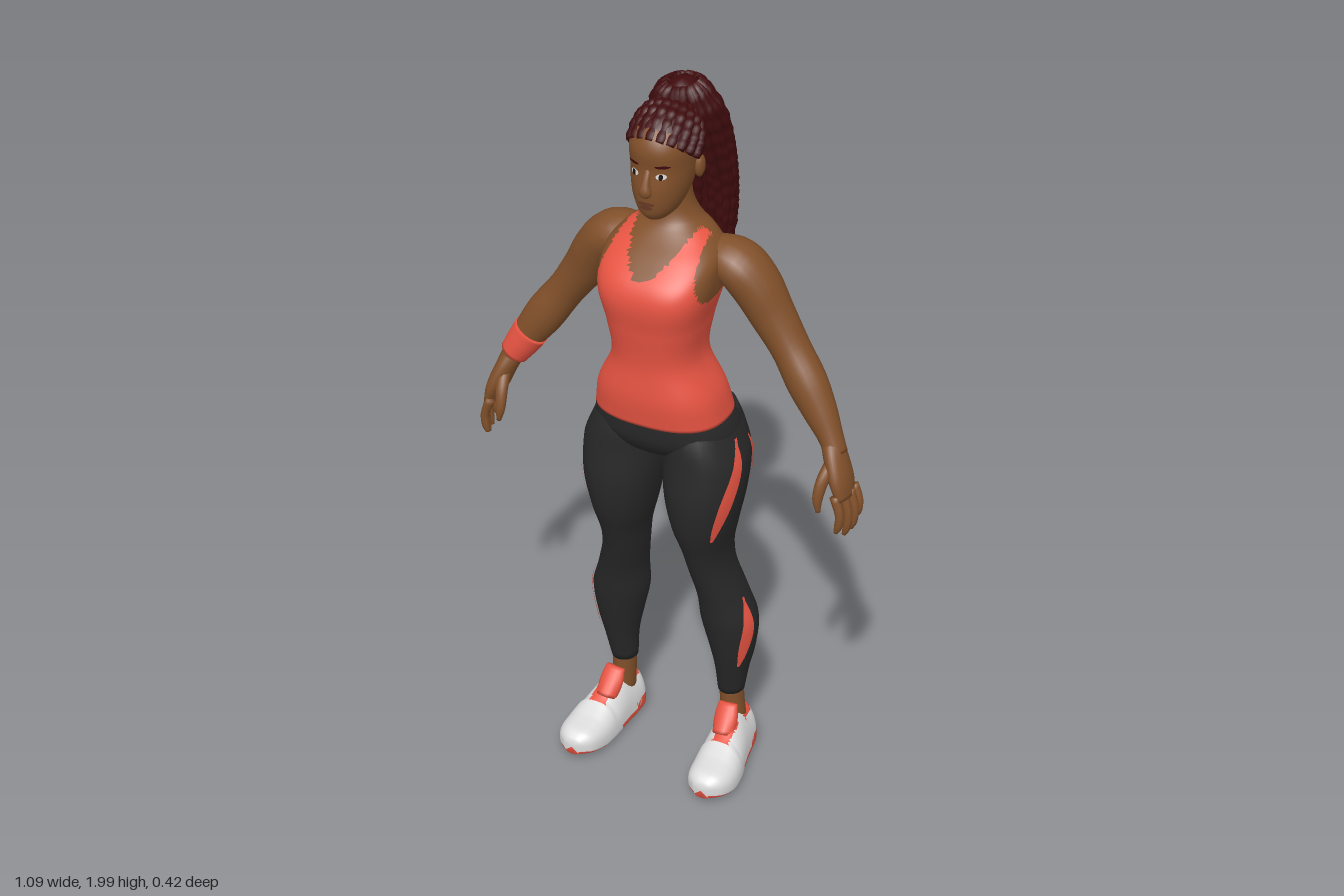
import * as THREE from 'three';

const mat = (name, color, side = THREE.FrontSide) => {
  const m = new THREE.MeshStandardMaterial({ color, side });
  m.name = name;
  return m;
};

// Smooth interpolation of key rows; the first column is the position
function sample(keys, t) {
  const n = keys.length;
  let i = 0;
  while (i < n - 2 && t > keys[i + 1][0]) i++;
  const a = keys[i], b = keys[i + 1], p = keys[Math.max(i - 1, 0)], q = keys[Math.min(i + 2, n - 1)];
  const h = b[0] - a[0], s = (t - a[0]) / h, s2 = s * s, s3 = s2 * s;
  return a.map((v, k) => {
    const ma = (b[k] - p[k]) / (b[0] - p[0]) * h, mb = (q[k] - a[k]) / (q[0] - a[0]) * h;
    return (2 * s3 - 3 * s2 + 1) * v + (s3 - 2 * s2 + s) * ma + (3 * s2 - 2 * s3) * b[k] + (s3 - s2) * mb;
  });
}

const pow = (v, p) => Math.sign(v) * Math.abs(v) ** p;

// Point on an upright form; key row: y, centre x, half width, front z, back z, squareness
function bodyPoint(keys, y, a, out = 0) {
  const [, cx, rx, zf, zb, p] = sample(keys, y);
  return new THREE.Vector3(cx + (rx + out) * pow(Math.sin(a), p), y,
    (zf + zb) / 2 + ((zf - zb) / 2 + out) * pow(Math.cos(a), p));
}

// Grid surface from fn(u, v); closed grids wrap in v and get end caps.
function surface(name, fn, nu, nv, mats, closed = true, rule = null) {
  const list = [].concat(mats), pts = [], w = closed ? nv : nv + 1;
  for (let i = 0; i <= nu; i++) for (let j = 0; j < w; j++) pts.push(fn(i / nu, j / nv));
  const buckets = list.map(() => []);
  const tri = (a, b, c) => {
    const m = new THREE.Vector3().add(pts[a]).add(pts[b]).add(pts[c]).divideScalar(3);
    buckets[rule ? rule(m) : 0].push(a, b, c);
  };
  for (let i = 0; i < nu; i++) for (let j = 0; j < nv; j++) {
    const k = (j + 1) % w, a = i * w + j, b = i * w + k, c = (i + 1) * w + k, d = (i + 1) * w + j;
    tri(a, b, c);
    tri(a, c, d);
  }
  if (closed) for (const end of [0, nu]) {
    const mid = new THREE.Vector3();
    for (let j = 0; j < w; j++) mid.add(pts[end * w + j]);
    pts.push(mid.divideScalar(w));
    for (let j = 0; j < w; j++) {
      const a = end * w + j, b = end * w + (j + 1) % w;
      end ? tri(a, b, pts.length - 1) : tri(b, a, pts.length - 1);
    }
  }
  const g = new THREE.BufferGeometry().setFromPoints(pts);
  g.setIndex(buckets.flat());
  let start = 0;
  buckets.forEach((b, i) => { g.addGroup(start, b.length, i); start += b.length; });
  g.computeVertexNormals();
  const mesh = new THREE.Mesh(g, list.length > 1 ? list : list[0]);
  mesh.name = name;
  return mesh;
}

function body(name, keys, nu, nv, mats, rule) {
  const y0 = keys[0][0], y1 = keys[keys.length - 1][0];
  return surface(name, (u, v) => bodyPoint(keys, y0 + (y1 - y0) * u, v * Math.PI * 2), nu, nv, mats, true, rule);
}

// Thin painted plate lying on an upright form; at(u, v) gives [y, angle]
function patch(name, keys, at, m, s = 1, out = 0.004) {
  return surface(name, (u, v) => {
    const [y, a] = at(u, s > 0 ? v : 1 - v);
    return bodyPoint(keys, y, a * s, out);
  }, 14, 8, m, false);
}
const spot = (y, a, h, w) => (u, v) => [y + h * (2 * u - 1) * Math.sqrt(1 - 0.98 * (2 * v - 1) ** 2), a + w * (2 * v - 1)];
const stripe = (y0, y1, a0, a1, w) => (u, v) =>
  [y0 + (y1 - y0) * u, a0 + (a1 - a0) * u + w * (2 * v - 1) * Math.sin(Math.PI * Math.min(0.97, u + 0.03)) ** 0.7];

// Limb along a path; row: x, y, z, radius toward the hint axis, other radius
function limb(name, rows, m, nu = 24, nv = 14, hint = [0, 0, 1]) {
  const curve = new THREE.CatmullRomCurve3(rows.map(r => new THREE.Vector3(r[0], r[1], r[2])));
  const radii = rows.map((r, i) => [i, r[3], r[4]]);
  return surface(name, (u, v) => {
    const T = curve.getTangent(u), U = new THREE.Vector3(...hint);
    U.addScaledVector(T, -U.dot(T)).normalize();
    const V = new THREE.Vector3().crossVectors(T, U), [, ru, rv] = sample(radii, u * (rows.length - 1));
    const a = v * Math.PI * 2;
    return curve.getPoint(u).addScaledVector(U, ru * Math.cos(a)).addScaledVector(V, rv * Math.sin(a));
  }, nu, nv, m);
}

export function createModel() {
  const root = new THREE.Group();
  root.name = 'athleticWoman';
  const skin = mat('skin', 0x81502a), coral = mat('coral', 0xea5543), black = mat('leggings', 0x282828);
  const hair = mat('hair', 0x400c0e), white = mat('white', 0xdcdcdc), dark = mat('iris', 0x1c0f0a), lip = mat('lips', 0x6b3a26);
  const add = (...m) => root.add(...m);

  // Torso, tank top and neck in one form; the top ends at neckline and armholes
  const torso = [
    [1.125, 0, .178, .172, -.1, .8], [1.2, 0, .162, .18, -.08, .8], [1.3, 0, .118, .175, -.055, .8],
    [1.4, 0, .127, .187, -.068, .75], [1.48, 0, .146, .197, -.085, .7], [1.53, 0, .152, .18, -.09, .72],
    [1.58, 0, .148, .13, -.092, .8], [1.62, 0, .112, .08, -.088, .9], [1.65, 0, .072, .055, -.08, 1],
    [1.7, 0, .05, .045, -.06, 1], [1.77, 0, .047, .05, -.055, 1]];
  add(body('torsoAndTankTop', torso, 84, 80, [skin, coral], p => {
    const x = Math.abs(p.x), front = p.z > 0;
    if (p.y > 1.635) return 0;
    if (front ? p.y > 1.54 + 14 * x * x : p.y > 1.6 + 3 * x * x) return 0;
    const arm = front ? 0.148 - (p.y - 1.47) * 0.25 : 0.15 - (p.y - 1.45) * 0.4;
    return p.y > 1.46 && x > arm ? 0 : 1;
  }));

  // Hips
  add(body('hips', [
    [.985, 0, .07, .07, -.06, 1], [1.02, 0, .15, .125, -.1, .9], [1.06, 0, .19, .152, -.115, .85],
    [1.1, 0, .188, .158, -.113, .82], [1.15, 0, .165, .158, -.085, .8]], 16, 40, black));

  // Head with face plates
  const head = [
    [1.685, 0, .028, .112, .03, 1], [1.7, 0, .044, .125, 0, .95], [1.73, 0, .06, .132, -.02, .92],
    [1.77, 0, .072, .134, -.045, .92], [1.82, 0, .079, .129, -.06, .92], [1.87, 0, .081, .132, -.065, .92],
    [1.91, 0, .072, .115, -.06, 1], [1.94, 0, .045, .08, -.04, 1]];
  add(body('head', head, 32, 36, skin));
  add(limb('nose', [[0, 1.825, .123, .006, .008], [0, 1.79, .135, .012, .011], [0, 1.768, .138, .014, .017],
    [0, 1.757, .13, .006, .01]], skin, 12, 12));
  add(patch('upperLip', head, spot(1.737, 0, .005, .32), lip), patch('lowerLip', head, spot(1.726, 0, .006, .26), lip));
  for (const s of [1, -1]) {
    add(patch('eyeWhite', head, spot(1.812, .43, .008, .17), white, s, .002));
    add(patch('eyeIris', head, spot(1.812, .42, .008, .07), dark, s, .004));
    add(patch('eyebrow', head, spot(1.838, .46, .004, .24), hair, s, .003));
    const ear = new THREE.Mesh(new THREE.SphereGeometry(1, 12, 10), skin);
    ear.name = 'ear';
    ear.scale.set(.012, .03, .02);
    ear.position.set(s * .082, 1.805, .01);
    add(ear);
  }

  // Scalp hair with braids swept back to the tie
  const cap = new THREE.Mesh(new THREE.SphereGeometry(1, 32, 16, 0, Math.PI * 2, 0, Math.PI * .56).rotateX(-.75), hair);
  cap.name = 'scalpHair';
  cap.scale.set(.09, .1, .105);
  cap.position.set(0, 1.855, .025);
  cap.material = mat('hair', 0x400c0e, THREE.DoubleSide);
  cap.material = hair.side === THREE.DoubleSide ? hair : (hair.side = THREE.DoubleSide, hair);
  add(cap);
  for (let i = 0; i < 11; i++) {
    const a = (i / 10 - .5) * 2.9, sx = Math.sin(a), c = Math.cos(a);
    const rows = [];
    for (let k = 0; k <= 12; k++) {
      const t = k / 12, r = .013 + .003 * (k % 2), bulge = Math.sin(t * Math.PI);
      rows.push([sx * .083 * (1 - t * .75) + sx * .025 * bulge, 1.835 + .06 * c + (.105 - .06 * c) * t + .032 * bulge * c,
        .035 + .08 * c - (.075 + .08 * c) * t, r, r]);
    }
    add(limb('scalpBraid', rows, hair, 36, 8, [1, .3, 0]));
  }

  // Ponytail core covered with hanging braids
  const tail = [
    [1.48, 0, .05, -.145, -.19, 1], [1.55, 0, .08, -.115, -.195, .9], [1.7, 0, .092, -.09, -.188, .9],
    [1.85, 0, .092, -.045, -.16, .9], [1.92, 0, .078, -.005, -.14, 1], [1.965, 0, .05, -.005, -.115, 1],
    [1.99, 0, .018, -.03, -.085, 1]];
  add(body('ponytail', tail, 30, 28, hair));
  let seed = 7;
  const rnd = () => (seed = (seed * 16807) % 2147483647) / 2147483647;
  for (let i = 0; i < 24; i++) {
    const a0 = i / 24 * Math.PI * 2, end = 1.48 + rnd() * .07, ph = rnd() * 6, rows = [];
    for (let k = 0; k <= 22; k++) {
      const y = 1.982 + (end - 1.982) * k / 22, r = (k === 22 ? .006 : .011 + .004 * (k % 2));
      const p = bodyPoint(tail, y, a0 + .12 * Math.sin(y * 14 + ph), .003);
      rows.push([p.x, p.y, p.z, r, r]);
    }
    add(limb('ponytailBraid', rows, hair, 44, 7));
  }

  for (const s of [1, -1]) {
    const side = rows => rows.map(([x, ...r]) => [x * s, ...r]);
    const flip = keys => keys.map(([y, x, ...r]) => [y, x * s, ...r]);

    // Arm and hand
    add(limb('arm', side([
      [.1, 1.555, -.02, .06, .05], [.17, 1.545, -.022, .074, .06], [.215, 1.5, -.027, .071, .063],
      [.265, 1.42, -.03, .06, .057], [.32, 1.34, -.025, .052, .05], [.375, 1.262, -.01, .05, .053],
      [.42, 1.195, .003, .042, .044], [.455, 1.14, .015, .034, .032], [.475, 1.1, .023, .034, .028]]), skin, 40, 20));
    add(limb('palm', side([
      [.46, 1.13, .017, .032, .028], [.478, 1.09, .028, .043, .027], [.498, 1.04, .037, .05, .025],
      [.513, .995, .04, .045, .017]]), skin, 14, 16));
    for (let f = 0; f < 4; f++) {
      const z = .079 - f * .026, len = [.085, .1, .095, .075][f], x = .516 + [-.012, 0, .006, .006][f];
      add(limb('finger', side([
        [x - .005, 1.01, z, .013, .013], [x + .012, 1.005 - len * .5, z + .003, .012, .012],
        [x + .01, 1 - len * .85, z + .004, .011, .011], [x + .004, 1 - len * 1.08, z + .005, .006, .006]]), skin, 12, 8));
    }
    add(limb('thumb', side([
      [.474, 1.085, .045, .018, .018], [.464, 1.045, .078, .017, .016], [.46, 1.0, .095, .013, .013],
      [.464, .965, .098, .006, .006]]), skin, 12, 10));
    if (s < 0) add(limb('wristband', side([
      [.413, 1.205, .001, .05, .049], [.435, 1.17, .009, .046, .045], [.458, 1.135, .016, .041, .039]]), coral, 10, 20));

    // Legging leg with inlaid stripes
    const leg = flip([
      [.215, .165, .036, .004, -.076, 1], [.3, .17, .047, .022, -.082, 1], [.37, .171, .062, .038, -.094, 1],
      [.47, .164, .078, .058, -.1, 1], [.55, .15, .067, .07, -.088, 1], [.65, .128, .06, .096, -.068, 1],
      [.72, .121, .064, .118, -.065, 1], [.8, .118, .083, .145, -.07, .95], [.9, .118, .102, .158, -.085, .92],
      [1, .115, .108, .15, -.105, .92], [1.06, .106, .096, .145, -.112, .92], [1.12, .095, .08, .13, -.1, .95]]);
    add(body('leggingLeg', leg, 48, 28, black));
    add(patch('frontThighStripe', leg, stripe(.79, 1.07, .75, 1.45, .2), coral, s));
    add(patch('backThighStripe', leg, stripe(.8, 1.05, 2.35, 1.9, .17), coral, s));
    add(patch('calfStripe', leg, stripe(.33, .56, .75, 1.4, .25), coral, s));

    // Ankle and sneaker
    add(body('ankle', flip([[.1, .173, .035, .005, -.08, 1], [.17, .168, .033, 0, -.074, 1],
      [.225, .165, .033, 0, -.073, 1]]), 8, 20, skin));
    add(limb('shoeTongue', side([
      [.182, .11, .045, .03, .03], [.178, .15, .02, .022, .034], [.175, .186, .002, .012, .028]]), coral, 10, 16));
    const shoe = [
      [-.105, .172, .022, .085], [-.09, .174, .044, .13], [-.05, .177, .052, .14], [0, .183, .056, .152],
      [.04, .188, .061, .137], [.09, .195, .067, .108], [.15, .2, .065, .084], [.19, .2, .05, .068], [.213, .2, .022, .045]];
    add(surface('sneaker', (u, v) => {
      const z = -.105 + .318 * u, [, cx, hw, h] = sample(shoe, z), a = v * Math.PI * 2, sn = Math.sin(a);
      const toe = Math.max(0, z - .13) * .2, pinch = 1 - .35 * Math.max(0, sn) ** 2 * (z < .08 ? 1 : .3);
      return new THREE.Vector3(s * cx + hw * pow(Math.cos(a), .7) * pinch, toe + (sn > 0 ? .03 + (h - .03) * sn ** .8 : .03 - .03 * Math.abs(sn) ** .5), z);
    }, 44, 44, [white, coral], true, p => {
      const mid = Math.abs(p.x - s * .19);
      if (p.y < .014 + Math.max(0, p.z - .13) * .2) return 1;
      if (p.z < .05 && p.y < .035 + Math.max(0, -.02 - p.z) * .3) return 1;
      if (p.z > .01 && p.z < .085 && mid < .024 && p.y > .08) return 1;
      return p.z < -.03 && p.y > .118 ? 1 : 0;
    }));
  }
  // Sneaker grids run heel to toe around +z, so both feet keep the same winding
  return root;
}
